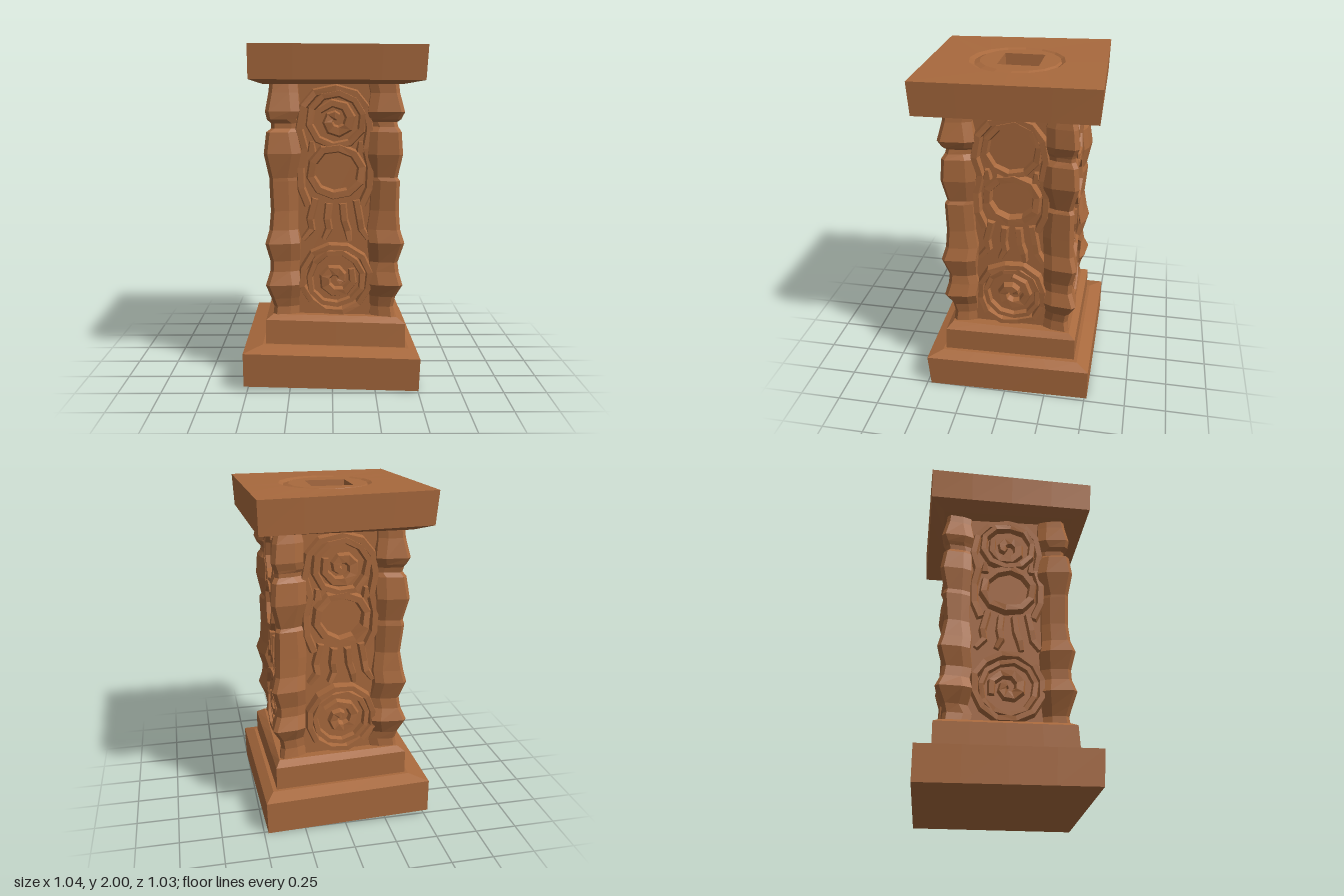
import * as THREE from 'three';

let seed = 7;
const rnd = () => ((seed = (seed * 16807) % 2147483647) / 2147483647) - 0.5;

// Skin a row of equal-length loops of [x, y, z]; faceted, optionally capped
function loft(loops, capped = true) {
  const pos = [];
  const n = loops[0].length;
  const mid = (l) => [0, 1, 2].map((k) => l.reduce((s, p) => s + p[k], 0) / n);
  const tri = (a, b, c) => pos.push(...a, ...b, ...c);
  for (let i = 0; i < loops.length - 1; i++) {
    for (let j = 0; j < n; j++) {
      const k = (j + 1) % n;
      tri(loops[i][j], loops[i][k], loops[i + 1][k]);
      tri(loops[i][j], loops[i + 1][k], loops[i + 1][j]);
    }
  }
  if (capped) {
    const first = loops[0], last = loops[loops.length - 1];
    const a = mid(first), b = mid(last);
    for (let j = 0; j < n; j++) {
      const k = (j + 1) % n;
      tri(a, first[k], first[j]);
      tri(b, last[j], last[k]);
    }
  }
  const g = new THREE.BufferGeometry();
  g.setAttribute('position', new THREE.Float32BufferAttribute(pos, 3));
  g.computeVertexNormals();
  return g;
}

// Four-sided loop of [x, y, z] corners, subdivided to 16 points
// Corner order: front left, front right, back right, back left
function quad(corners) {
  const out = [];
  corners.forEach((c, i) => {
    const d = corners[(i + 1) % 4];
    for (let s = 0; s < 4; s++) out.push(c.map((v, k) => v + ((d[k] - v) * s) / 4));
  });
  return out;
}
const rect = (x0, x1, z0, z1, yl, yr, skew = 0) =>
  quad([[x0, yl, z1], [x1, yr, z1], [x1 - skew, yr, z0], [x0, yl, z0]]);
const circle = (r, y, cx, cz) => Array.from({ length: 16 }, (_, i) => {
  const a = -Math.PI * 0.75 + (i / 16) * Math.PI * 2;
  return [cx + r * Math.cos(a), y, cz - r * Math.sin(a)];
});

// Carved ridge with a bevelled section following a 2D path on a wall
function ridge(path, width, height, closed, z) {
  const n = path.length;
  const loops = path.map((p, i) => {
    const a = closed ? path[(i + n - 1) % n] : path[Math.max(i - 1, 0)];
    const b = closed ? path[(i + 1) % n] : path[Math.min(i + 1, n - 1)];
    const len = Math.hypot(b[0] - a[0], b[1] - a[1]);
    const nx = -(b[1] - a[1]) / len, ny = (b[0] - a[0]) / len;
    const w = (width * (p[2] ?? 1)) / 2;
    const h = height * (1 + rnd() * 0.3);
    return [[-w, 0], [w, 0], [w * 0.6, h], [-w * 0.6, h]]
      .map(([s, d]) => [p[0] + nx * s, p[1] + ny * s, z + d]);
  });
  if (closed) loops.push(loops[0]);
  return loft(loops, !closed);
}
const ringPath = (cx, cy, rx, ry, n) => Array.from({ length: n }, (_, i) => {
  const a = (i / n) * Math.PI * 2 + 0.2, k = 1 + rnd() * 0.07;
  return [cx + rx * k * Math.cos(a), cy + ry * k * Math.sin(a)];
});
const spiralPath = (cx, cy, r, dir, start) => Array.from({ length: 11 }, (_, i) => {
  const t = i / 10, a = start + dir * t * 1.25 * Math.PI * 2, q = r * (1 - 0.8 * t);
  return [cx + q * Math.cos(a), cy + q * Math.sin(a), 0.4 + 0.6 * Math.sin(Math.PI * (0.1 + 0.75 * t))];
});

export function createModel() {
  seed = 7;
  const clay = new THREE.MeshStandardMaterial({ color: 0xa8693d });
  clay.name = 'terracotta';
  const model = new THREE.Group();
  model.name = 'carvedPillar';
  const add = (parent, name, geometry) => {
    const m = new THREE.Mesh(geometry, clay);
    m.name = name;
    parent.add(m);
    return m;
  };

  // Uneven plinth and step
  add(model, 'plinth', loft([
    rect(-0.52, 0.505, -0.515, 0.475, 0.03, 0.0, 0.03),
    rect(-0.52, 0.51, -0.515, 0.49, 0.235, 0.2, 0.03),
    rect(-0.41, 0.45, -0.44, 0.4, 0.262, 0.235, 0.02),
  ]));
  add(model, 'step', loft([
    rect(-0.395, 0.43, -0.42, 0.39, 0.2, 0.2, 0.025),
    rect(-0.39, 0.43, -0.42, 0.38, 0.405, 0.378, 0.025),
    rect(-0.35, 0.38, -0.38, 0.345, 0.43, 0.41),
  ]));

  // Skewed cap slab with a bellied underside, ring groove and square socket
  add(model, 'cap', loft([
    rect(-0.39, 0.4, -0.4, 0.4, 1.775, 1.775),
    quad([[-0.46, 1.8, 0.5], [0.51, 1.795, 0.49], [0.475, 1.795, -0.51], [-0.49, 1.81, -0.48]]),
    quad([[-0.46, 1.99, 0.515], [0.52, 1.985, 0.5], [0.48, 1.985, -0.52], [-0.505, 2.0, -0.485]]),
    circle(0.275, 1.99, 0.02, 0.005),
    circle(0.25, 1.978, 0.02, 0),
    circle(0.23, 1.988, 0.01, -0.01),
    rect(-0.115, 0.125, -0.135, 0.1, 1.988, 1.988),
    rect(-0.11, 0.105, -0.12, 0.095, 1.915, 1.915),
  ]));

  // Shaft core
  const shaft = new THREE.Group();
  shaft.name = 'shaft';
  shaft.position.set(0.01, 0, -0.012);
  model.add(shaft);
  const core = add(shaft, 'core', new THREE.BoxGeometry(0.64, 1.42, 0.64));
  core.position.y = 1.09;

  // Scalloped corner posts: [height, reach]
  const scallops = [[0.38, 0.37], [0.47, 0.355], [0.53, 0.365], [0.61, 0.4], [0.69, 0.375],
    [0.75, 0.37], [0.86, 0.405], [0.94, 0.38], [1.05, 0.37], [1.22, 0.378], [1.24, 0.368],
    [1.38, 0.395], [1.5, 0.385], [1.53, 0.365], [1.56, 0.365], [1.58, 0.38], [1.62, 0.395],
    [1.72, 0.375], [1.79, 0.365]];
  for (let c = 0; c < 4; c++) {
    const loops = scallops.map(([y0, o0]) => {
      const o = o0 + rnd() * 0.012, e = 0.205 + rnd() * 0.03, y = y0 + rnd() * 0.012;
      return [[0.18, y, 0.18], [e, y, o - 0.035], [e + 0.05, y, o - 0.012], [o - 0.022, y, o],
        [o, y, o - 0.022], [o - 0.012, y, e + 0.05], [o - 0.035, y, e]];
    });
    add(shaft, 'cornerPost', loft(loops)).rotation.y = (c * Math.PI) / 2;
  }

  // Carved panel on each side
  const arch = [[-0.15, 1.08], [-0.19, 1.18], [-0.195, 1.3], [-0.17, 1.41], [-0.2, 1.52],
    [-0.175, 1.65], [-0.11, 1.725], [0.01, 1.75], [0.12, 1.72], [0.185, 1.64], [0.205, 1.52],
    [0.185, 1.41], [0.21, 1.3], [0.205, 1.18], [0.16, 1.08]];
  const tendrils = [
    [[-0.11, 1.12], [-0.14, 1.0], [-0.13, 0.94], [-0.18, 0.88, 0.7]],
    [[-0.03, 1.09], [-0.04, 1.0], [-0.03, 0.94], [-0.06, 0.88, 0.7]],
    [[0.05, 1.09], [0.06, 0.99], [0.08, 0.93], [0.09, 0.87, 0.7]],
    [[0.13, 1.11], [0.15, 1.0], [0.16, 0.94], [0.2, 0.88, 0.7]],
  ];
  for (let f = 0; f < 4; f++) {
    const panel = new THREE.Group();
    panel.name = 'carvedPanel';
    panel.rotation.y = (f * Math.PI) / 2;
    shaft.add(panel);
    const z = 0.315, cx = 0.012;
    const carve = (name, path, w, h, closed) => add(panel, name, ridge(path, w, h, closed, z));

    carve('archFrame', arch, 0.055, 0.04);
    // Middle medallion, open
    carve('middleRing', ringPath(cx, 1.275, 0.15, 0.14, 10), 0.06, 0.05, true);
    // Upper medallion: a plain oval on one side, swirls on the rest
    carve('upperRing', ringPath(cx, 1.575, 0.155, 0.15, 10), 0.05, 0.045, true);
    if (f !== 1) carve('upperSwirl', spiralPath(cx, 1.57, 0.11, f ? 1 : -1, 2.6), 0.075, 0.035);
    // Lower medallion with double ring and swirl
    carve('lowerOuterRing', ringPath(cx, 0.64, 0.2, 0.2, 12), 0.05, 0.05, true);
    carve('lowerInnerRing', ringPath(cx, 0.64, 0.16, 0.16, 11), 0.045, 0.035, true);
    carve('lowerSwirl', spiralPath(cx, 0.64, 0.11, -1, 0.6 + f), 0.075, 0.04);
    for (const t of tendrils) carve('tendril', t, 0.05, 0.04);
    // Small wedges beside the waist between medallions
    for (const s of [-1, 1]) {
      carve('waistWedge', [[cx + s * 0.14, 1.45, 0.5], [cx + s * 0.14, 1.39]], 0.06, 0.04);
    }
  }
  return model;
}
